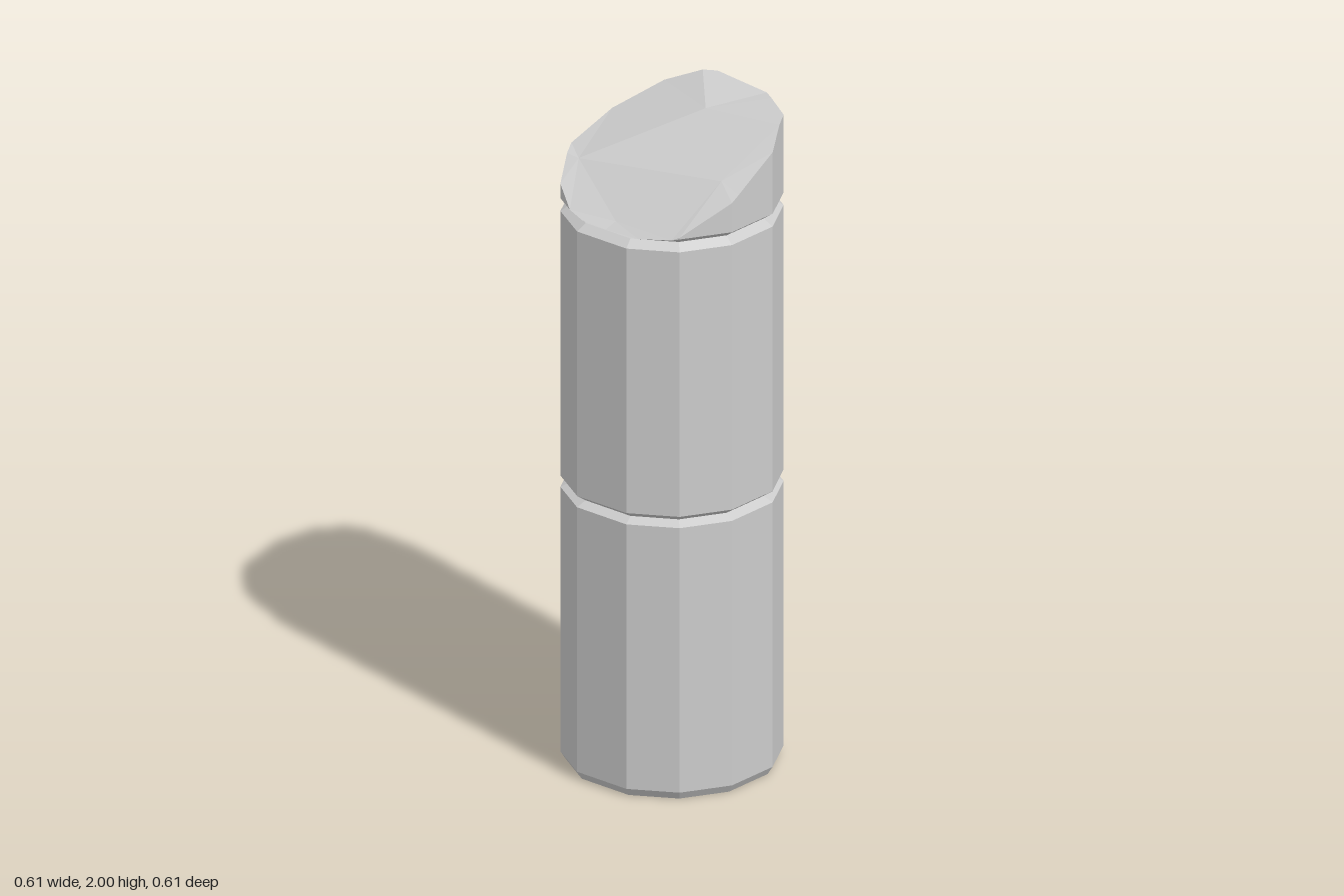
import * as THREE from 'three';

const GROOVE = 0.91; // radius factor at the bottom of a joint groove

const stone = new THREE.MeshStandardMaterial({ color: 0xcccccc, flatShading: true });

// Twelve-sided plan, counter-clockwise seen from above, as [x, z]
const quarter = [[0.093, 0.304], [0.225, 0.225], [0.303, 0.088]];
const mirrored = (sx, sz) => quarter.map(([x, z]) => [x * sx, z * sz]);
const plan = [
  ...quarter,
  ...mirrored(1, -1).reverse(),
  ...mirrored(-1, -1),
  ...mirrored(-1, 1).reverse(),
];

function meshFrom(name, triangles) {
  const geometry = new THREE.BufferGeometry();
  geometry.setAttribute('position', new THREE.Float32BufferAttribute(triangles.flat(2), 3));
  geometry.computeVertexNormals();
  const mesh = new THREE.Mesh(geometry, stone);
  mesh.name = name;
  return mesh;
}

// Skin a stack of equal-length rings, bottom to top
function skin(rings) {
  const tris = [];
  for (let r = 0; r + 1 < rings.length; r++) {
    const lo = rings[r], hi = rings[r + 1], n = lo.length;
    for (let i = 0; i < n; i++) {
      const j = (i + 1) % n;
      tris.push([lo[i], lo[j], hi[j]], [lo[i], hi[j], hi[i]]);
    }
  }
  return tris;
}

// Drum with chamfered ends; profile rows are [y, radius factor]
function drum(name, profile) {
  const rings = profile.map(([y, s]) => plan.map(([x, z]) => [x * s, y, z * s]));
  const tris = skin(rings);
  const bottom = rings[0], top = rings[rings.length - 1];
  for (let i = 0; i < plan.length; i++) {
    const j = (i + 1) % plan.length;
    tris.push([[0, bottom[0][1], 0], bottom[j], bottom[i]]);
    tris.push([[0, top[0][1], 0], top[i], top[j]]);
  }
  return meshFrom(name, tris);
}

// Top drum, broken off at a slant
function brokenDrum() {
  const rim = [
    [0.075, 1.70, 0.302], [0.105, 1.72, 0.265], [0.205, 1.735, 0.237], [0.225, 1.745, 0.225],
    [0.303, 1.83, 0.088], [0.303, 1.845, 0.06], [0.303, 1.88, 0], [0.303, 1.93, -0.088],
    [0.257, 1.975, -0.17], [0.225, 1.98, -0.225], [0.13, 1.985, -0.282], [0.093, 1.985, -0.304],
    [-0.093, 2, -0.304], [-0.13, 2, -0.282], [-0.225, 1.96, -0.225], [-0.303, 1.895, -0.088],
    [-0.303, 1.845, 0.088], [-0.272, 1.84, 0.142], [-0.225, 1.785, 0.225], [-0.15, 1.74, 0.27],
    [-0.09, 1.73, 0.286], [-0.01, 1.72, 0.275],
  ];
  // Where the break dips into the groove the wall shrinks to nothing
  const foot = rim.map((p) => (p[1] <= 1.72 ? p : [p[0] * GROOVE, 1.72, p[2] * GROOVE]));
  const shoulder = rim.map((p) => (p[1] <= 1.74 ? p : [p[0], 1.74, p[2]]));
  const tris = skin([foot, shoulder, rim]);

  // Faceted break: four inner points, each fanned to its stretch of rim
  const back = [0.005, 1.965, -0.14], right = [0.23, 1.865, 0.05];
  const left = [-0.23, 1.835, 0.14], front = [0, 1.738, 0.243];
  const fan = (centre, from, to) => {
    for (let i = from; i < to; i++) {
      tris.push([centre, rim[i % rim.length], rim[(i + 1) % rim.length]]);
    }
  };
  fan(right, 2, 8);
  fan(back, 8, 15);
  fan(left, 15, 19);
  fan(front, 19, 24);
  tris.push(
    [back, left, right], [left, front, right],
    [back, right, rim[8]], [back, rim[15], left],
    [left, rim[19], front], [front, rim[2], right],
  );
  return meshFrom('brokenTopDrum', tris);
}

export function createModel() {
  const model = new THREE.Group();
  model.name = 'brokenColumn';
  model.add(
    drum('lowerDrum', [[0, 0.95], [0.025, 1], [0.845, 1], [0.86, GROOVE]]),
    drum('middleDrum', [[0.86, GROOVE], [0.88, 1], [1.7, 1], [1.72, GROOVE]]),
    brokenDrum(),
  );
  return model;
}
